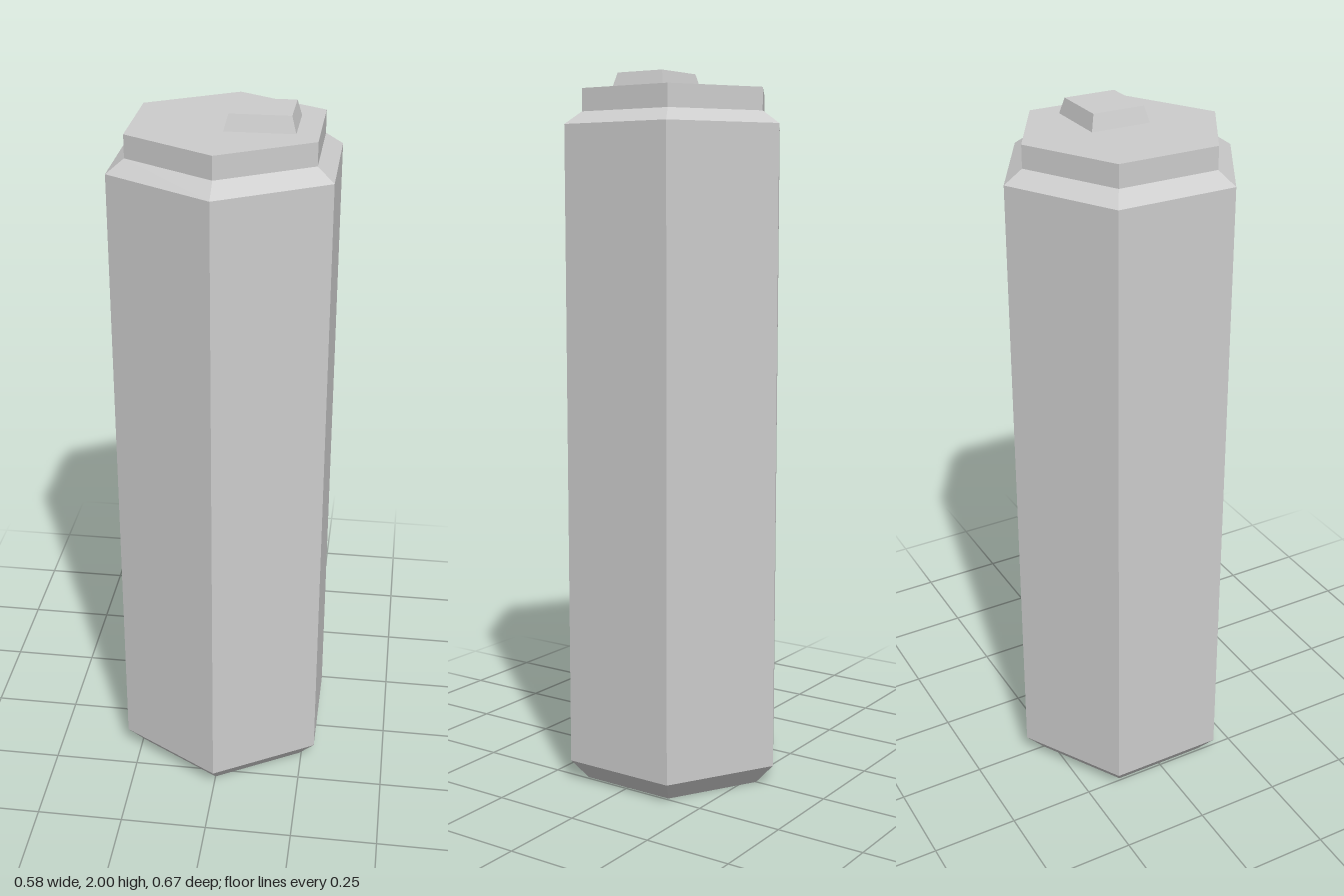
import * as THREE from 'three';

export function createModel() {
  const group = new THREE.Group();
  const material = new THREE.MeshStandardMaterial({ color: 0xcccccc, flatShading: true });

  // Six-sided body: chamfered foot, long sides, sloped shoulder and short neck
  const profile = [
    [0, 0], [0.28, 0], [0.335, 0.06], [0.335, 1.86],
    [0.283, 1.895], [0.283, 1.957], [0, 1.957],
  ].map(([r, y]) => new THREE.Vector2(r, y));
  const body = new THREE.Mesh(new THREE.LatheGeometry(profile, 6), material);
  body.name = 'body';
  group.add(body);

  // Off-centre square button, tapering towards its top
  const height = 0.043;
  const geometry = new THREE.BoxGeometry(0.185, height, 0.169);
  const pos = geometry.attributes.position;
  for (let i = 0; i < pos.count; i++) {
    if (pos.getY(i) > 0) {
      pos.setX(i, pos.getX(i) - Math.sign(pos.getX(i)) * 0.012);
      pos.setZ(i, pos.getZ(i) - Math.sign(pos.getZ(i)) * 0.011);
    }
  }
  geometry.computeVertexNormals();
  const button = new THREE.Mesh(geometry, material);
  button.name = 'topButton';
  button.position.set(0.0925, 2 - height / 2, 0);
  group.add(button);

  return group;
}
